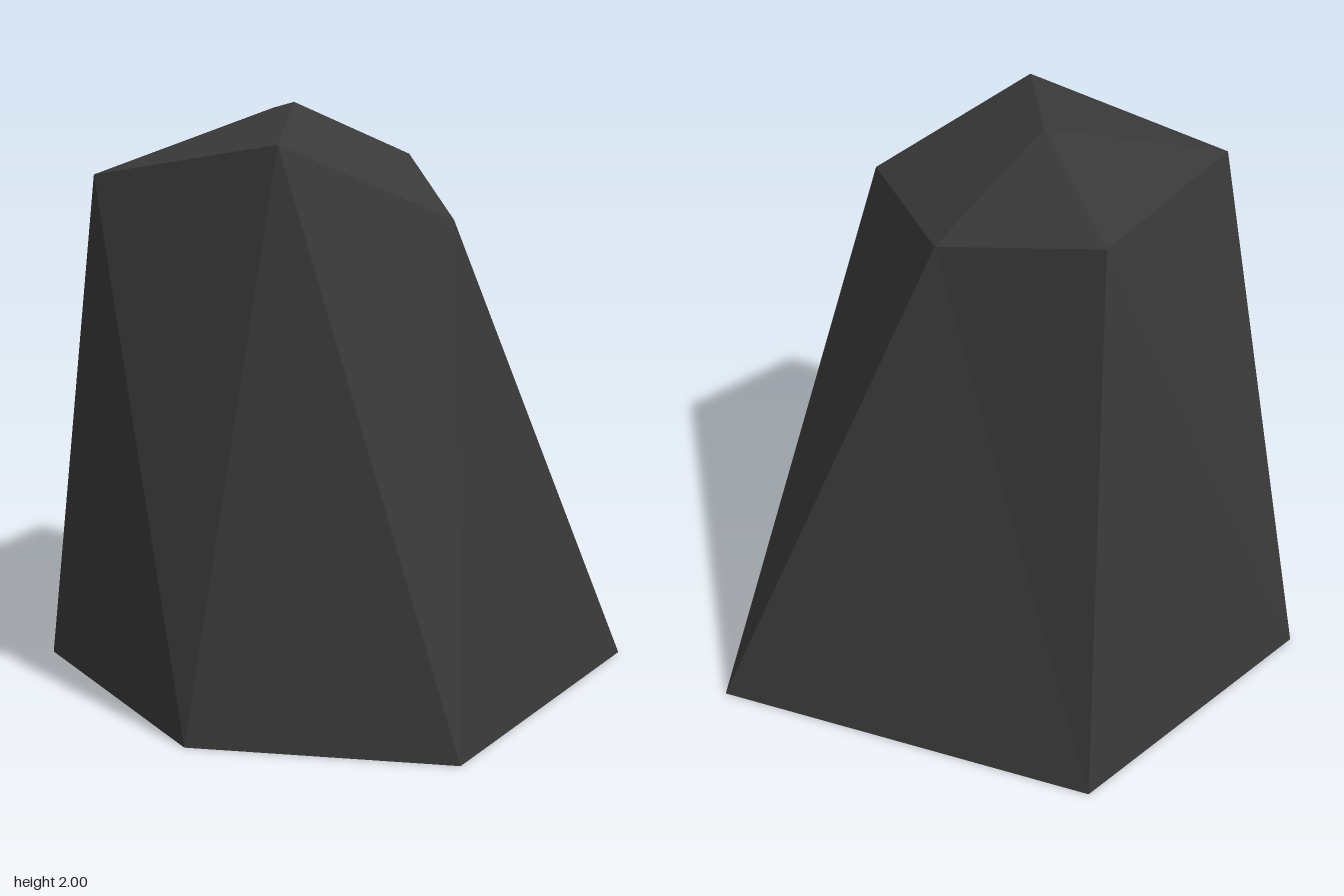
import * as THREE from 'three';

// Faceted rock: an irregular five-sided base ring, a shoulder ring and a peak.
const base = [[-0.89, 0, 0.37], [0.09, 0, 0.82], [0.89, 0, 0.43], [0.76, 0, -0.83], [-0.6, 0, -0.7]];
const shoulder = [[-0.46, 1.78, 0.58], [0.27, 1.92, 0.55], [0.64, 1.67, 0.12], [0.08, 1.79, -0.46], [-0.5, 1.92, -0.44]];
const peak = [-0.04, 2, 0.05];

function facetMesh(name, triangles, material) {
  const geometry = new THREE.BufferGeometry();
  geometry.setAttribute('position', new THREE.Float32BufferAttribute(triangles.flat(2), 3));
  geometry.computeVertexNormals(); // unshared corners keep every facet flat
  const mesh = new THREE.Mesh(geometry, material);
  mesh.name = name;
  return mesh;
}

export function createModel() {
  const stone = new THREE.MeshStandardMaterial({ color: 0x3a3a3a });
  stone.name = 'dark stone';

  const sides = [], cap = [], underside = [];
  const n = base.length;
  for (let i = 0; i < n; i++) {
    const j = (i + 1) % n;
    sides.push([base[i], base[j], shoulder[i]], [base[j], shoulder[j], shoulder[i]]);
    cap.push([shoulder[i], shoulder[j], peak]);
    if (i > 0 && i < n - 1) underside.push([base[0], base[j], base[i]]);
  }

  const rock = new THREE.Group();
  rock.name = 'rock';
  rock.add(
    facetMesh('rockSides', sides, stone),
    facetMesh('rockCap', cap, stone),
    facetMesh('rockUnderside', underside, stone),
  );
  return rock;
}
